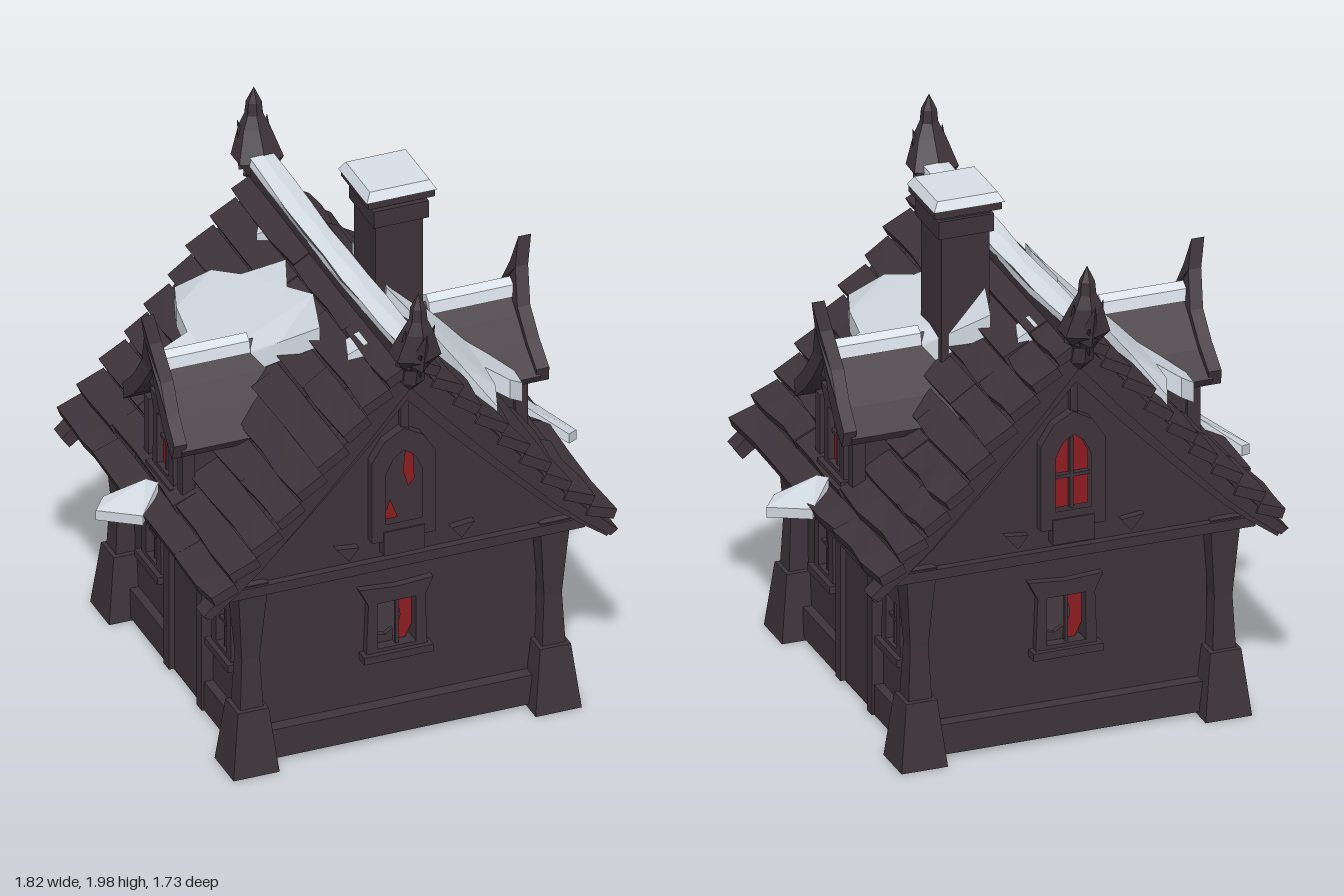
import * as THREE from 'three';

const mat = (name, color) => Object.assign(new THREE.MeshStandardMaterial({ color }), { name });
const wood = mat('dark wood', 0x3d343a);
const snow = mat('snow', 0xe0e8f0);
const glass = mat('red glass', 0x8e1c1f);

let seed = 7;
const rnd = (a) => { seed = (seed * 16807) % 2147483647; return (seed / 2147483647 - 0.5) * 2 * a; };

// Roof slope, from the ridge out to the flared eave
const SLOPE = [[0, 1.66], [0.2, 1.44], [0.4, 1.2], [0.6, 0.97], [0.7, 0.87], [0.81, 0.77], [0.95, 0.71]];
function roofY(x) {
  const i = Math.max(1, SLOPE.findIndex((p) => p[0] >= x));
  const [a, b] = [SLOPE[i - 1], SLOPE[i]];
  return a[1] + (b[1] - a[1]) * (x - a[0]) / (b[0] - a[0]);
}

function add(parent, name, geo, material, x = 0, y = 0, z = 0) {
  const m = new THREE.Mesh(geo, material);
  m.name = name;
  m.position.set(x, y, z);
  parent.add(m);
  return m;
}
const box = (p, name, w, h, d, x, y, z) => add(p, name, new THREE.BoxGeometry(w, h, d), wood, x, y, z);
const pts = (a) => a.map(([x, y]) => new THREE.Vector2(x, y));
function plate(points, depth, holes = []) {
  const s = new THREE.Shape(pts(points));
  holes.forEach((h) => s.holes.push(new THREE.Path(pts(h))));
  return new THREE.ExtrudeGeometry(s, { depth, bevelEnabled: false });
}
const pane = (p, points, z) => add(p, 'redGlass', new THREE.ShapeGeometry(new THREE.Shape(pts(points))), glass, 0, 0, z);
const rect = (x0, y0, x1, y1) => [[x0, y0], [x1, y0], [x1, y1], [x0, y1]];
const mirror = (half) => [...half, ...half.filter((p) => p[0] !== 0).reverse().map(([x, y]) => [-x, y])];

// Move every vertex by a rule, then make flat normals
function bend(geo, rule) {
  const p = geo.attributes.position;
  const v = new THREE.Vector3();
  for (let i = 0; i < p.count; i++) { v.fromBufferAttribute(p, i); rule(v); p.setXYZ(i, v.x, v.y, v.z); }
  const flat = geo.index ? geo.toNonIndexed() : geo;
  flat.computeVertexNormals();
  return flat;
}

// Crooked window frame with sill, flared lintel and glazing bars
function windowFrame(parent, cx, y0, y1, hw, z, bars = true) {
  const g = new THREE.Group();
  g.name = 'window';
  const w = 0.045;
  add(g, 'frame', plate([[-hw - w, y0 - w], [hw + w, y0 - w], [hw + w * 0.8, y1], [hw + w * 1.5, y1 + w * 1.5],
    [0, y1 + w * 1.3], [-hw - w * 1.6, y1 + w * 1.6], [-hw - w * 0.8, y1]], 0.03, [rect(-hw, y0, hw, y1)]), wood, 0, 0, z);
  box(g, 'sill', 2 * hw + 0.12, 0.03, 0.05, 0, y0 - 0.03, z + 0.025);
  if (bars) {
    box(g, 'bar', 0.012, y1 - y0, 0.015, 0, (y0 + y1) / 2, z + 0.01);
    box(g, 'bar', hw * 2, 0.012, 0.015, 0, y0 + (y1 - y0) * 0.55, z + 0.01);
  }
  g.position.x = cx;
  parent.add(g);
  return g;
}

// Gable end: lower wall, window, upper gable, barge boards and finial
function gableEnd(parent, shattered) {
  const g = new THREE.Group();
  g.name = 'gableEnd';
  parent.add(g);
  add(g, 'endWall', plate(rect(-0.55, 0.02, 0.55, 0.78), 0.04, [rect(-0.08, 0.38, 0.07, 0.57)]), wood, 0, 0, 0.52);
  box(g, 'plinth', 1.08, 0.12, 0.07, 0, 0.085, 0.575);
  const win = windowFrame(g, -0.005, 0.38, 0.57, 0.075, 0.56, false);
  pane(win, [[0.01, 0.38], [0.05, 0.38], [0.075, 0.43], [0.075, 0.57], [0.015, 0.57], [0.03, 0.48]], 0.545);
  box(win, 'bar', 0.012, 0.19, 0.015, 0.005, 0.475, 0.57);
  add(win, 'brokenShutter', plate([[-0.075, 0.38], [0, 0.38], [0, 0.43], [-0.03, 0.41], [-0.075, 0.42]], 0.02), wood, 0, 0, 0.53);

  add(g, 'gableWall', plate([[-0.74, 0.76], [0.74, 0.76], [0.58, 0.93], [0, 1.6], [-0.58, 0.93]], 0.1), wood, 0, 0, 0.53);
  box(g, 'gableBeam', 1.4, 0.04, 0.04, 0, 0.775, 0.64);
  box(g, 'kingPost', 0.03, 0.3, 0.03, 0, 1.44, 0.64);
  const arch = (w, y0, y1, y2) => mirror([[0, y2], [w * 0.6, y1 + (y2 - y1) * 0.65], [w, y1], [w, y0]]);
  add(g, 'archFrame', plate(arch(0.125, 0.88, 1.22, 1.34), 0.045, [arch(0.07, 0.95, 1.16, 1.25)]), wood, -0.01, 0, 0.625);
  box(g, 'archSill', 0.16, 0.1, 0.06, -0.01, 0.87, 0.645);
  if (shattered) {
    pane(g, [[-0.08, 0.95], [-0.02, 0.95], [-0.05, 1.03]], 0.635);
    pane(g, [[0.0, 1.14], [0.02, 1.07], [0.045, 1.1], [0.04, 1.2], [0.01, 1.24]], 0.635);
  } else {
    pane(g, arch(0.07, 0.95, 1.16, 1.25).map(([x, y]) => [x - 0.01, y]), 0.635);
    box(g, 'archBar', 0.014, 0.28, 0.02, -0.01, 1.09, 0.645);
    box(g, 'archBar', 0.14, 0.014, 0.02, -0.01, 1.08, 0.645);
  }

  // Barge boards follow the roof slope, with a thicker inner rafter
  const top = SLOPE.slice(0, 6);
  for (const [name, drop, depth, z] of [['bargeBoard', 0.13, 0.035, 0.675], ['rafter', 0.2, 0.04, 0.635]]) {
    for (const s of [1, -1]) {
      const low = top.map(([x, y]) => [Math.max(0, x - 0.03), y - drop * (1 - x * 0.85)]).reverse();
      add(g, name, plate([...top.map(([x, y]) => [x, y - 0.02]), ...low].map(([x, y]) => [s * x, y]), depth), wood, 0, 0, z);
    }
  }
  for (const s of [1, -1]) add(g, 'bracket', plate([[0.18 * s, 0.87], [0.22 * s, 0.82], [0.27 * s, 0.88]], 0.03), wood, 0, 0, 0.63);

  // Finial: crooked bulb and spike with loose leaves around it
  const lean = (v) => { v.z = v.z * 0.85 + 0.705 + 0.25 * Math.min(0.3, Math.max(0, v.y - 1.53)); };
  const prof = [[0, 1.52], [0.05, 1.57], [0.045, 1.63], [0.1, 1.7], [0.06, 1.81], [0.035, 1.86], [0.03, 1.91], [0, 1.97]];
  add(g, 'finial', bend(new THREE.LatheGeometry(pts(prof), 6), lean), wood);
  for (const [x, y, z, rx, rz] of [[0.045, 1.75, 0.77, 0.3, -0.15], [-0.045, 1.75, 0.77, 0.3, 0.15], [0, 1.76, 0.825, 0.45, 0], [0, 1.69, 0.79, 0.8, 0.2]]) {
    const leaf = add(g, 'finialLeaf', new THREE.ConeGeometry(0.045, 0.18, 4).toNonIndexed(), wood, x, y, z);
    leaf.geometry.computeVertexNormals();
    leaf.rotation.set(rx, 0, rz);
  }
}

// Long side, worked in a frame facing outward: door, windows and dormer
function longSide(parent) {
  const g = new THREE.Group();
  g.name = 'longSide';
  g.rotation.y = Math.PI / 2;
  parent.add(g);
  const wins = [-0.32, 0.345];
  add(g, 'sideWall', plate(rect(-0.55, 0.02, 0.55, 0.85), 0.04, wins.map((x) => rect(x - 0.05, 0.37, x + 0.05, 0.55))), wood, 0, 0, 0.52);
  for (const x of wins) {
    const w = windowFrame(g, x, 0.37, 0.55, 0.05, 0.56);
    pane(w, rect(-0.05, 0.37, 0.05, 0.55), 0.55);
    box(g, 'plinth', 0.38, 0.12, 0.05, x, 0.08, 0.57);
  }
  box(g, 'door', 0.25, 0.58, 0.04, 0.015, 0.31, 0.565);
  for (const x of [-0.14, 0.17]) box(g, 'doorPost', 0.05, 0.6, 0.06, x, 0.32, 0.575);
  box(g, 'doorLintel', 0.5, 0.075, 0.1, 0.01, 0.645, 0.59);

  const d = new THREE.Group();
  d.name = 'dormer';
  g.add(d);
  add(d, 'dormerBody', plate(mirror([[0, 1.38], [0.08, 1.26], [0.17, 1.18], [0.16, 0.88]]), 0.4), wood, 0, 0, 0.25);
  pane(d, rect(-0.045, 0.95, 0.065, 1.16), 0.655);
  windowFrame(d, 0.01, 0.95, 1.16, 0.055, 0.65);
  for (const x of [-0.16, 0.16]) box(d, 'dormerPost', 0.045, 0.27, 0.05, x, 1.03, 0.65);
  box(d, 'dormerSill', 0.36, 0.035, 0.06, 0, 0.9, 0.66);
  const under = [[0.23, 1.13], [0.14, 1.2], [0.07, 1.28], [0, 1.38]];
  add(d, 'dormerRoof', plate(mirror([[0, 1.42], [0.08, 1.33], [0.15, 1.24], [0.245, 1.16], ...under.slice(0, 3)]), 0.42), wood, 0, 0, 0.28);
  // Horned front board, leaning forward at its tip
  const horn = plate(mirror([[0, 1.61], [0.025, 1.5], [0.09, 1.37], [0.16, 1.27], [0.245, 1.19], ...under]), 0.05);
  add(d, 'dormerHorn', bend(horn, (v) => { v.z += 0.67 + 0.2 * Math.max(0, v.y - 1.4) + 0.06 * Math.max(0, 1.4 - v.y); }), wood);
  add(d, 'dormerSnow', plate(mirror([[0, 1.45], [0.03, 1.43], [0.04, 1.385]]), 0.33), snow, 0, 0, 0.35);
}

// Roof boards: stepped, overlapping rows of uneven planks
function roofSlope(parent) {
  const g = new THREE.Group();
  g.name = 'roofSlope';
  parent.add(g);
  const rows = 9, span = 0.775;
  for (let i = 0; i < rows; i++) {
    const x0 = span * i / rows, x1 = span * (i + 1) / rows + 0.015;
    const y0 = roofY(x0) - 0.025, y1 = roofY(x1) + 0.03;
    const cuts = [-0.735, -0.3 + rnd(0.2), 0.25 + rnd(0.2), 0.72];
    for (let j = 0; j < 3; j++) {
      const len = cuts[j + 1] - cuts[j];
      const geo = new THREE.BoxGeometry(Math.hypot(x1 - x0, y1 - y0), 0.04, len, 1, 1, 3);
      const wob = [0, 1, 2, 3].map(() => rnd(0.01));
      const m = add(g, 'roofBoard', bend(geo, (v) => {
        if (v.x > 0) { const k = Math.round((v.z / len + 0.5) * 3); v.x += wob[k]; v.y += wob[k] * 0.6; }
      }), wood, (x0 + x1) / 2, (y0 + y1) / 2 + rnd(0.004), (cuts[j] + cuts[j + 1]) / 2);
      m.rotation.z = Math.atan2(y1 - y0, x1 - x0);
    }
  }
}

// Snow lying on the slope, outlined in plan
function snowPatch(parent, outline, lift, thick) {
  const geo = plate(outline.map(([x, z]) => [x, -z]), 1).rotateX(-Math.PI / 2);
  add(parent, 'snowPatch', bend(geo, (v) => { v.y = roofY(v.x) + lift(v.x, v.z) - (v.y < 0.5 ? thick : 0); }), snow);
}

function cornerPost(parent, x, z) {
  const post = (name, prof) => {
    const geo = new THREE.LatheGeometry(pts(prof.map(([r, y]) => [r * Math.SQRT2, y])), 4).rotateY(Math.PI / 4);
    add(parent, name, bend(geo, () => {}), wood, x, 0, z);
  };
  post('postFoot', [[0, 0.01], [0.09, 0.01], [0.06, 0.27], [0, 0.28]]);
  post('post', [[0.045, 0.27], [0.035, 0.48], [0.05, 0.68], [0.06, 0.8], [0, 0.82]]);
}

export function createModel() {
  const house = new THREE.Group();
  house.name = 'cottage';
  box(house, 'floor', 1.16, 0.04, 1.16, 0, 0.03, 0);

  // Two halves, the second turned half way round
  for (const turn of [0, 1]) {
    const half = new THREE.Group();
    half.name = turn ? 'backHalf' : 'frontHalf';
    half.rotation.y = turn * Math.PI;
    house.add(half);
    gableEnd(half, !turn);
    longSide(half);
    roofSlope(half);
    for (const x of [-0.59, 0.59]) cornerPost(half, x, 0.59);
    snowPatch(half, [[0.38, 0.61], [0.29, 0.48], [0.24, 0.32], [0.13, 0.16], [0.17, 0.05], [0.13, -0.1], [0.17, -0.26], [0.27, -0.12],
      [0.38, 0], [0.46, 0.1], [0.61, 0.2], [0.6, 0.31], [0.54, 0.34], [0.45, 0.32], [0.43, 0.47]],
    (x, z) => (z > 0.55 ? 0.06 : 0.1) + 0.45 * Math.max(0, x - 0.33), 0.08);
    snowPatch(half, [[0.71, -0.04], [0.8, -0.11], [0.91, 0.07], [0.86, 0.12], [0.73, 0.03]], () => 0.06, 0.04);
    snowPatch(half, [[0.08, -0.5], [0.14, -0.45], [0.12, -0.38], [0.08, -0.41]], () => 0.05, 0.05);
    snowPatch(half, [[0.09, 0.38], [0.13, 0.44], [0.09, 0.5]], () => 0.05, 0.05);
  }

  // Ridge beam under a sagging strip of snow
  box(house, 'ridgeBeam', 0.09, 0.06, 1.42, 0, 1.655, 0);
  const ridge = new THREE.BoxGeometry(0.1, 0.03, 1.42, 2, 1, 8);
  add(house, 'ridgeSnow', bend(ridge, (v) => {
    v.x += rnd(0.006);
    v.y += 1.685 + 0.05 * v.z * v.z + (Math.abs(v.x) < 0.02 ? 0.012 : 0);
  }), snow);

  // Chimney with collar, cap and snow
  box(house, 'chimney', 0.185, 0.75, 0.205, 0.21, 1.53, -0.012);
  box(house, 'chimneyCollar', 0.215, 0.07, 0.235, 0.212, 1.875, -0.012);
  box(house, 'chimneyCap', 0.26, 0.03, 0.26, 0.21, 1.945, -0.015);
  box(house, 'chimneyNeck', 0.19, 0.05, 0.2, 0.21, 1.92, -0.015);
  const cap = bend(new THREE.BoxGeometry(0.275, 0.035, 0.27), (v) => { if (v.y > 0) { v.x *= 0.85; v.z *= 0.85; } });
  add(house, 'chimneySnow', cap, snow, 0.208, 1.977, -0.015);
  return house;
}
